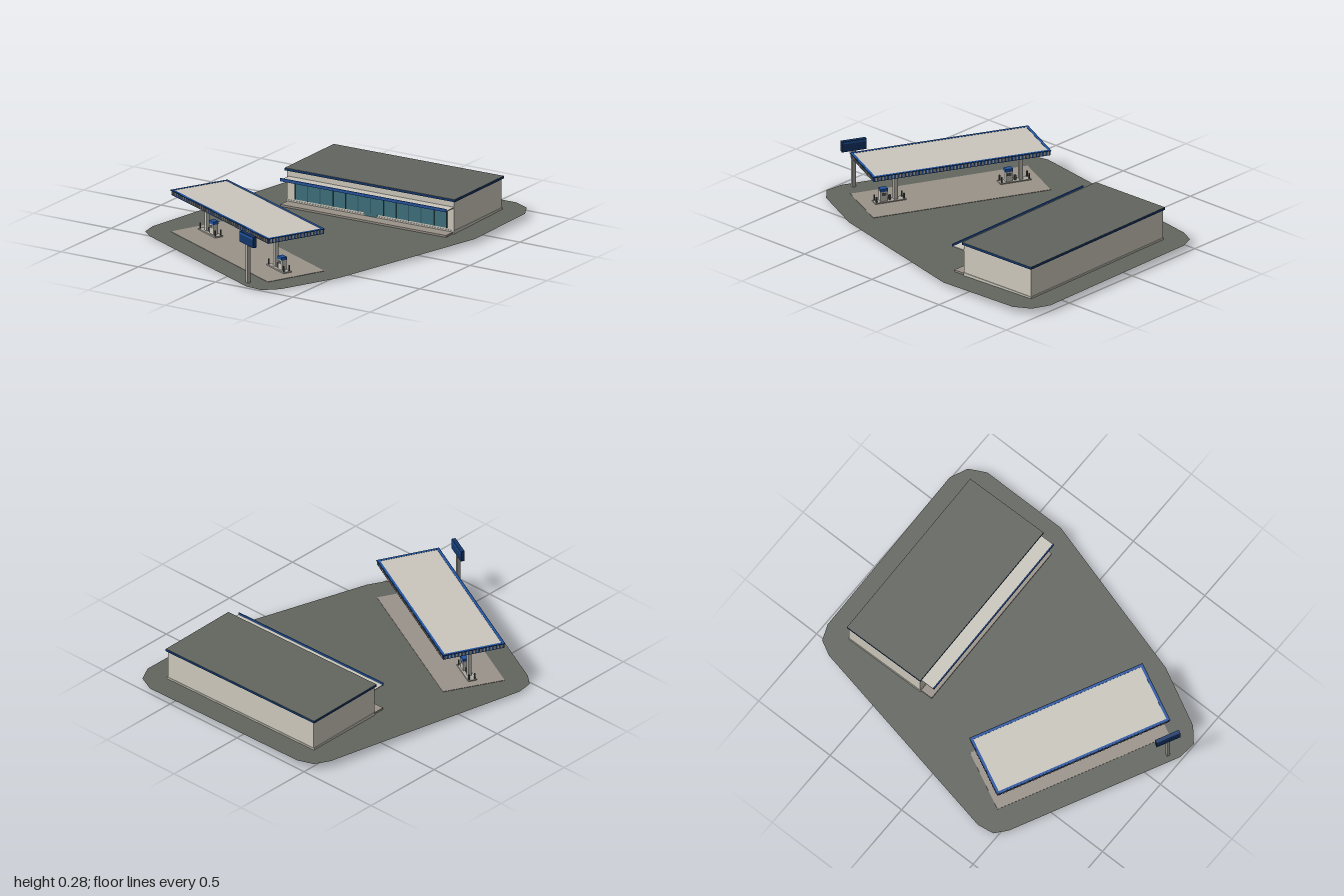
import * as THREE from 'three';
import { mergeGeometries } from 'three/addons/utils/BufferGeometryUtils.js';

const mat = (name, color, side = THREE.FrontSide) => {
  const m = new THREE.MeshStandardMaterial({ color, side });
  m.name = name;
  return m;
};

// Gentle slope of the site, falling towards the front
const groundY = (z) => 0.0185 - 0.0155 * z;

export function createModel() {
  const asphalt = mat('asphalt', 0x63665f, THREE.DoubleSide);
  const paving = mat('paving', 0x9b938a);
  const cream = mat('cream', 0xcbc7bd);
  const wall = mat('wall', 0xd3cec0);
  const navy = mat('navy', 0x12376b);
  const blue = mat('blue', 0x2456a4);
  const glass = mat('glass', 0x3f7480);
  const frame = mat('window frame', 0x2f5a66);
  const steel = mat('steel', 0xaeaba3);
  const dark = mat('dark grey', 0x55575a);

  const model = new THREE.Group();
  model.name = 'fillingStation';

  const add = (parent, name, geo, material) => {
    const m = new THREE.Mesh(geo, material);
    m.name = name;
    parent.add(m);
    return m;
  };
  // Box given by its centre in plan and its bottom and top heights
  const boxGeo = (w, d, y0, y1, x = 0, z = 0) =>
    new THREE.BoxGeometry(w, y1 - y0, d).translate(x, (y0 + y1) / 2, z);
  const box = (parent, name, material, ...dims) => add(parent, name, boxGeo(...dims), material);
  // Rectangular ring of the given outer size and thickness
  const ring = (w, d, t, y0, y1) => mergeGeometries([
    ...[-1, 1].map((s) => boxGeo(w, t, y0, y1, 0, s * (d - t) / 2)),
    ...[-1, 1].map((s) => boxGeo(t, d - 2 * t, y0, y1, s * (w - t) / 2, 0)),
  ]);
  const placed = (name, x, z, angle) => {
    const g = new THREE.Group();
    g.name = name;
    g.position.set(x, 0, z);
    g.rotation.y = angle;
    model.add(g);
    return g;
  };

  // Sloping lot with clipped corners
  const outline = [
    [-0.43, -0.98], [0.65, -1], [0.75, -0.955], [0.8, -0.86], [0.805, -0.35], [0.54, 0.6], [0.375, 0.925],
    [0.295, 0.995], [0.19, 0.985], [-0.73, 0.53], [-0.795, 0.475], [-0.81, 0.38], [-0.565, -0.86], [-0.52, -0.945],
  ];
  const lot = new THREE.ShapeGeometry(new THREE.Shape(outline.map(([x, z]) => new THREE.Vector2(x, -z))));
  lot.rotateX(-Math.PI / 2);
  const lp = lot.attributes.position;
  for (let i = 0; i < lp.count; i++) lp.setY(i, groundY(lp.getZ(i)));
  lot.computeVertexNormals();
  add(model, 'lot', lot, asphalt);

  // Shop
  const shop = placed('shop', 0.12, -0.6025, 0.0185);
  const W = 1.07, D = 0.49, front = D / 2;
  add(shop, 'walls', ring(W, D, 0.012, 0.04, 0.21), wall);
  add(shop, 'plinth', ring(W + 0.006, D + 0.006, 0.012, 0.02, 0.042), cream);
  box(shop, 'roofFascia', navy, 1.09, 0.506, 0.208, 0.221);
  box(shop, 'roof', asphalt, 1.088, 0.504, 0.221, 0.2225);
  box(shop, 'sidewalk', paving, 1.06, 0.075, 0.02, 0.034, 0, front + 0.0375);
  box(shop, 'awning', cream, 1.06, 0.085, 0.17, 0.176, 0.006, front + 0.04);
  box(shop, 'awningFascia', blue, 1.06, 0.006, 0.17, 0.187, 0.006, front + 0.083);

  // Shop front glazing
  const x0 = -0.48, x1 = 0.49, panes = 12;
  box(shop, 'windows', glass, x1 - x0, 0.006, 0.052, 0.145, (x0 + x1) / 2, front + 0.002);
  for (let i = 0; i <= panes; i++) {
    box(shop, 'mullion', frame, 0.005, 0.009, 0.052, 0.145, x0 + (x1 - x0) * i / panes, front + 0.003);
  }
  box(shop, 'windowHead', frame, x1 - x0, 0.009, 0.142, 0.146, (x0 + x1) / 2, front + 0.003);
  box(shop, 'door', glass, 0.08, 0.008, 0.036, 0.14, (x0 + x1) / 2, front + 0.003);

  // Forecourt, draped on the slope
  const angle = -0.459;
  const court = placed('forecourt', -0.1325, 0.474, angle);
  court.updateMatrixWorld();
  const localGround = (x, z) => groundY(new THREE.Vector3(x, 0, z).applyMatrix4(court.matrixWorld).z);
  const slab = boxGeo(1.03, 0.358, -0.0022, 0.0022);
  const sp = slab.attributes.position;
  for (let i = 0; i < sp.count; i++) sp.setY(i, sp.getY(i) + localGround(sp.getX(i), sp.getZ(i)));
  add(court, 'paving', slab, paving);

  // Forecourt canopy
  const CW = 1.037, CD = 0.364;
  box(court, 'canopyRoof', cream, CW - 0.03, CD - 0.03, 0.226, 0.2505);
  add(court, 'canopyFascia', ring(CW - 0.01, CD - 0.01, 0.012, 0.223, 0.252), blue);
  const ribs = [];
  const pitch = 0.02;
  for (const s of [-1, 1]) {
    for (let x = -25; x <= 25; x++) ribs.push(boxGeo(0.008, 0.006, 0.229, 0.248, x * pitch, s * (CD / 2 - 0.003)));
    for (let z = -8; z <= 8; z++) ribs.push(boxGeo(0.006, 0.008, 0.229, 0.248, s * (CW / 2 - 0.003), z * pitch));
  }
  add(court, 'fasciaRibs', mergeGeometries(ribs), cream);
  add(court, 'fasciaLip', ring(CW, CD, 0.006, 0.248, 0.251), navy);

  // Pump islands, each with a column, a pump, a bin and bollards
  for (const u of [-0.375, 0.352]) {
    const island = new THREE.Group();
    island.name = 'pumpIsland';
    island.position.set(u, localGround(u, 0.011), 0.011);
    court.add(island);
    box(island, 'kerb', steel, 0.18, 0.05, -0.004, 0.009);
    box(island, 'column', cream, 0.022, 0.022, 0.008, 0.214, -0.035);
    box(island, 'pumpBody', cream, 0.04, 0.03, 0.008, 0.066, 0.035);
    box(island, 'pumpHead', blue, 0.044, 0.034, 0.066, 0.083, 0.035);
    for (const s of [-1, 1]) box(island, 'pumpScreen', dark, 0.024, 0.002, 0.042, 0.058, 0.035, s * 0.0155);
    box(island, 'bin', dark, 0.012, 0.014, 0.008, 0.036, -0.003);
    for (const x of [-0.08, 0.08]) for (const z of [-0.017, 0.017]) {
      const b = add(island, 'bollard', new THREE.CylinderGeometry(0.0045, 0.0045, 0.034, 10), dark);
      b.position.set(x, 0.024, z);
    }
  }

  // Roadside sign
  const sign = placed('roadSign', 0.16, 0.922, angle);
  box(sign, 'signPole', steel, 0.02, 0.02, 0, 0.23);
  box(sign, 'signPanel', navy, 0.142, 0.022, 0.22, 0.282);
  for (const s of [-1, 1]) box(sign, 'signBand', blue, 0.134, 0.003, 0.267, 0.278, 0, s * 0.011);

  return model;
}
